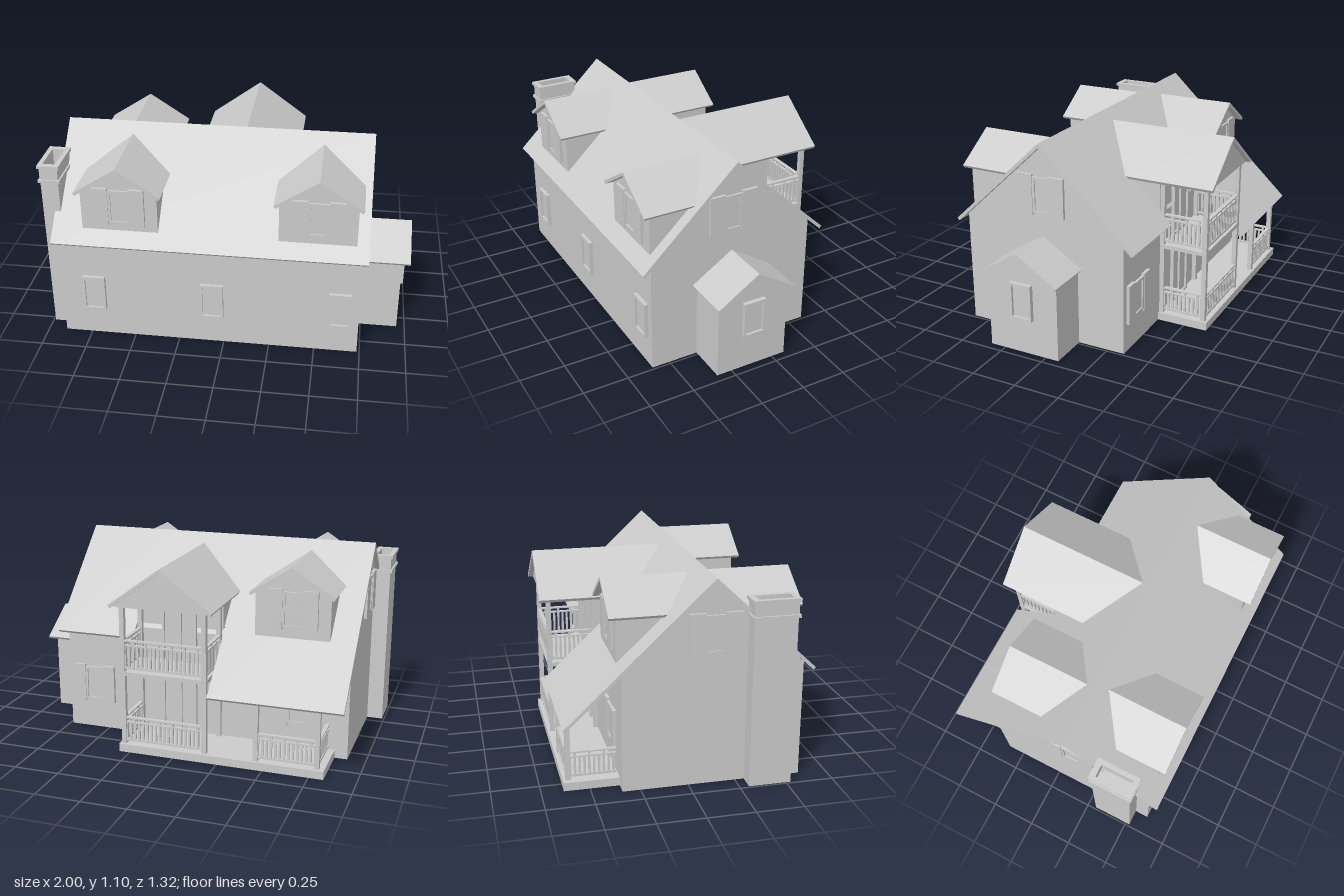
import * as THREE from 'three';

const mat = new THREE.MeshStandardMaterial({ color: 0xcccccc, flatShading: true, side: THREE.DoubleSide });
const RIDGE_Y = 1.1, RIDGE_Z = 0.125, SLOPE = 0.94;
const roofRun = y => (RIDGE_Y - y) / SLOPE; // distance from the ridge at height y

function mesh(name, geo, parent) {
  const m = new THREE.Mesh(geo, mat);
  m.name = name;
  parent.add(m);
  return m;
}

// Box given by its minimum and maximum corners
function box(name, parent, x0, y0, z0, x1, y1, z1) {
  const g = new THREE.BoxGeometry(x1 - x0, y1 - y0, z1 - z0);
  g.translate((x0 + x1) / 2, (y0 + y1) / 2, (z0 + z1) / 2);
  return mesh(name, g, parent);
}

function extrude(points, depth, hole) {
  const s = new THREE.Shape(points.map(p => new THREE.Vector2(...p)));
  if (hole) s.holes.push(new THREE.Path(hole.map(p => new THREE.Vector2(...p))));
  return new THREE.ExtrudeGeometry(s, { depth, bevelEnabled: false });
}

// Profile in (z, y) swept from x0 to x1
const alongX = (points, x0, x1) => extrude(points, x1 - x0).rotateY(-Math.PI / 2).translate(x1, 0, 0);

const rect = (w, h) => [[-w / 2, -h / 2], [w / 2, -h / 2], [w / 2, h / 2], [-w / 2, h / 2]];

// Drop the faces lying on the ground so that a shell is open below
function openBottom(geo) {
  const p = geo.attributes.position, keep = [];
  for (let i = 0; i < p.count; i += 3) {
    if (Math.max(p.getY(i), p.getY(i + 1), p.getY(i + 2)) < 0.001) continue;
    for (let k = 0; k < 3; k++) keep.push(p.getX(i + k), p.getY(i + k), p.getZ(i + k));
  }
  const g = new THREE.BufferGeometry();
  g.setAttribute('position', new THREE.Float32BufferAttribute(keep, 3));
  g.computeVertexNormals();
  return g;
}

// Cut the inner end (z = 0) of a dormer part along the main roof slope
function fitToRoof(geo) {
  const p = geo.attributes.position;
  for (let i = 0; i < p.count; i++) if (p.getZ(i) < 1e-4) p.setZ(i, roofRun(p.getY(i)));
  geo.computeVertexNormals();
  return geo;
}

// Gable roof outline: ridge height r, half width h, slope s, vertical thickness t
const chevron = (r, h, s, t) => [[0, r], [-h, r - s * h], [-h + 0.01, r - s * h - t + 0.006],
  [0, r - t], [h - 0.01, r - s * h - t + 0.006], [h, r - s * h]];

const gable = (w, bottom, eave, top) => [[-w, bottom], [w, bottom], [w, eave], [0, top], [-w, eave]];

// Window facing +z, centred on its back plane
function makeWindow(parent, x, y, z, turn, w, h, depth, shutter = 0) {
  const g = new THREE.Group();
  g.name = 'window';
  const b = 0.014;
  mesh('windowFrame', extrude(rect(w, h), depth, rect(w - 2 * b, h - 2 * b)), g);
  box('windowPane', g, -w / 2 + b, -h / 2 + b, 0, w / 2 - b, h / 2 - b, depth * 0.4);
  if (shutter) for (const s of [-1, 1]) {
    const c = s * (w + shutter) / 2;
    box('shutter', g, c - shutter / 2, -h / 2 - 0.012, 0, c + shutter / 2, h / 2 + 0.012, depth + 0.004);
  }
  g.position.set(x, y, z);
  g.rotation.y = turn;
  parent.add(g);
}

// Railing between two floor points
function railing(parent, x0, z0, x1, z1, floor, h) {
  const g = new THREE.Group();
  g.name = 'railing';
  const len = Math.hypot(x1 - x0, z1 - z0), low = 0.022, mid = h - 0.03;
  box('bottomRail', g, 0, low - 0.006, -0.008, len, low + 0.006, 0.008);
  box('middleRail', g, 0, mid - 0.004, -0.008, len, mid + 0.004, 0.008);
  box('topRail', g, 0, h - 0.008, -0.011, len, h, 0.011);
  const n = Math.round(len / 0.024);
  for (let i = 0; i < n; i++) {
    const c = (i + 0.5) * len / n;
    box('baluster', g, c - 0.006, low, -0.005, c + 0.006, i % 3 === 1 ? h - 0.005 : mid, 0.005);
  }
  g.position.set(x0, floor, z0);
  g.rotation.y = -Math.atan2(z1 - z0, x1 - x0);
  parent.add(g);
}

function makeDormer(parent, x, back, edge, face) {
  const g = new THREE.Group();
  g.name = back ? 'backDormer' : 'frontDormer';
  const r = 1.047, s = 0.65, w = 0.205, bottom = RIDGE_Y - SLOPE * face;
  mesh('dormerRoof', fitToRoof(extrude(chevron(r, 0.232, s, 0.02), edge)), g);
  mesh('dormerWalls', fitToRoof(extrude(gable(w, bottom, r - 0.018 - s * w, r - 0.018), face)), g);
  makeWindow(g, 0, 0.81, face, 0, 0.11, 0.195, 0.012, 0.083);
  g.position.set(x, 0, RIDGE_Z);
  if (back) g.rotation.y = Math.PI;
  parent.add(g);
}

export function createModel() {
  const house = new THREE.Group();
  house.name = 'house';

  // Main walls
  mesh('mainWalls', openBottom(alongX([[-0.345, 0], [0.6, 0], [0.6, 0.628], [RIDGE_Z, 1.078], [-0.345, 0.633]], -0.9, 0.735)), house);

  // Main roof: front slope, then back slopes of different reach
  const slab = (run, dir) => {
    const z = RIDGE_Z + dir * run, y = RIDGE_Y - SLOPE * run;
    return [[RIDGE_Z, RIDGE_Y], [z, y], [z - dir * 0.012, y - 0.013], [RIDGE_Z, RIDGE_Y - 0.025]];
  };
  mesh('frontRoof', alongX(slab(0.532, 1), -0.925, 0.765), house);
  mesh('porchRoof', alongX(slab(0.77, -1), -0.925, -0.2), house);
  mesh('middleRoof', alongX(slab(0.45, -1), -0.2, 0.31), house);
  mesh('backRoof', alongX(slab(0.542, -1), 0.31, 0.765), house);

  // Dormers
  makeDormer(house, -0.555, false, 0.5, 0.46);
  makeDormer(house, 0.495, false, 0.5, 0.46);
  makeDormer(house, -0.58, true, 0.515, 0.475);

  // Gabled balcony roof with its flat ceiling and the wall behind it
  const balcony = new THREE.Group();
  balcony.name = 'balconyGable';
  mesh('balconyRoof', fitToRoof(extrude(chevron(1.047, 0.288, 0.73, 0.022), 0.785)), balcony);
  mesh('balconyAttic', fitToRoof(extrude([[-0.265, 0.822], [0.265, 0.822], [0.265, 0.835], [0, 1.028], [-0.265, 0.835]], 0.758)), balcony);
  mesh('balconyWall', fitToRoof(extrude([[-0.25, 0.66], [0.25, 0.66], [0.25, 0.825], [-0.25, 0.825]], 0.47)), balcony);
  balcony.position.set(0.055, 0, RIDGE_Z);
  balcony.rotation.y = Math.PI;
  house.add(balcony);

  // Decks, posts and beam
  box('porchDeck', house, -0.83, 0, -0.635, 0.31, 0.045, -0.345);
  box('balconyDeck', house, -0.19, 0.438, -0.62, 0.3, 0.46, -0.345);
  const post = (x, z, top) => box('post', house, x - 0.013, 0.04, z - 0.013, x + 0.013, top, z + 0.013);
  for (const x of [-0.175, 0.285]) {
    post(x, -0.607, 0.825);
    post(x, -0.357, 0.825);
  }
  for (const x of [-0.46, -0.79]) post(x, -0.607, 0.392);
  box('porchBeam', house, -0.8, 0.362, -0.615, -0.18, 0.382, -0.597);

  // Railings
  for (const [floor, h, side] of [[0.045, 0.155, -0.79], [0.46, 0.178, -0.175]]) {
    railing(house, -0.175, -0.607, 0.285, -0.607, floor, h);
    for (const x of [0.285, side]) railing(house, x, -0.607, x, -0.357, floor, h);
  }
  railing(house, -0.79, -0.607, -0.46, -0.607, 0.045, 0.155);

  // Back doors on both floors
  for (const y of [0.22, 0.635]) {
    for (const x of [0.005, 0.105]) makeWindow(house, x, y, -0.345, Math.PI, 0.1, 0.35, 0.02);
  }

  // Wall windows
  for (const x of [-0.717, -0.064, 0.632]) makeWindow(house, x, 0.27, 0.6, 0, 0.125, 0.21, 0.021);
  for (const x of [0.58, -0.62]) makeWindow(house, x, 0.27, -0.345, Math.PI, 0.11, 0.195, 0.014, 0.07);
  makeWindow(house, 0.735, 0.81, 0.13, Math.PI / 2, 0.1, 0.2, 0.012, 0.087);
  makeWindow(house, -0.9, 0.81, 0.13, -Math.PI / 2, 0.1, 0.2, 0.012, 0.087);

  // Side annex
  const annex = new THREE.Group();
  annex.name = 'annex';
  const toX = pts => pts.map(([z, y]) => [z + 0.13, y]);
  mesh('annexWalls', openBottom(alongX(toX(gable(0.206, 0, 0.43, 0.567)), 0.735, 0.955)), annex);
  mesh('annexRoof', alongX(toX(chevron(0.585, 0.231, 0.64, 0.02)), 0.73, 1), annex);
  makeWindow(annex, 0.955, 0.303, 0.13, Math.PI / 2, 0.127, 0.205, 0.024);
  house.add(annex);

  // Chimney: shaft with two hollow collars
  const chimney = new THREE.Group();
  chimney.name = 'chimney';
  const ring = (name, w, d, y0, y1, open) => {
    const g = extrude(rect(w, d), y1 - y0, open && rect(0.068, 0.18)).rotateX(-Math.PI / 2);
    mesh(name, g, chimney).position.set(-0.941, y0, 0.412);
  };
  ring('chimneyShaft', 0.096, 0.225, 0, 0.9, false);
  ring('chimneyCollar', 0.118, 0.245, 0.895, 0.912, true);
  ring('chimneyNeck', 0.1, 0.228, 0.912, 0.978, true);
  ring('chimneyCap', 0.118, 0.245, 0.978, 0.995, true);
  house.add(chimney);

  return house;
}
